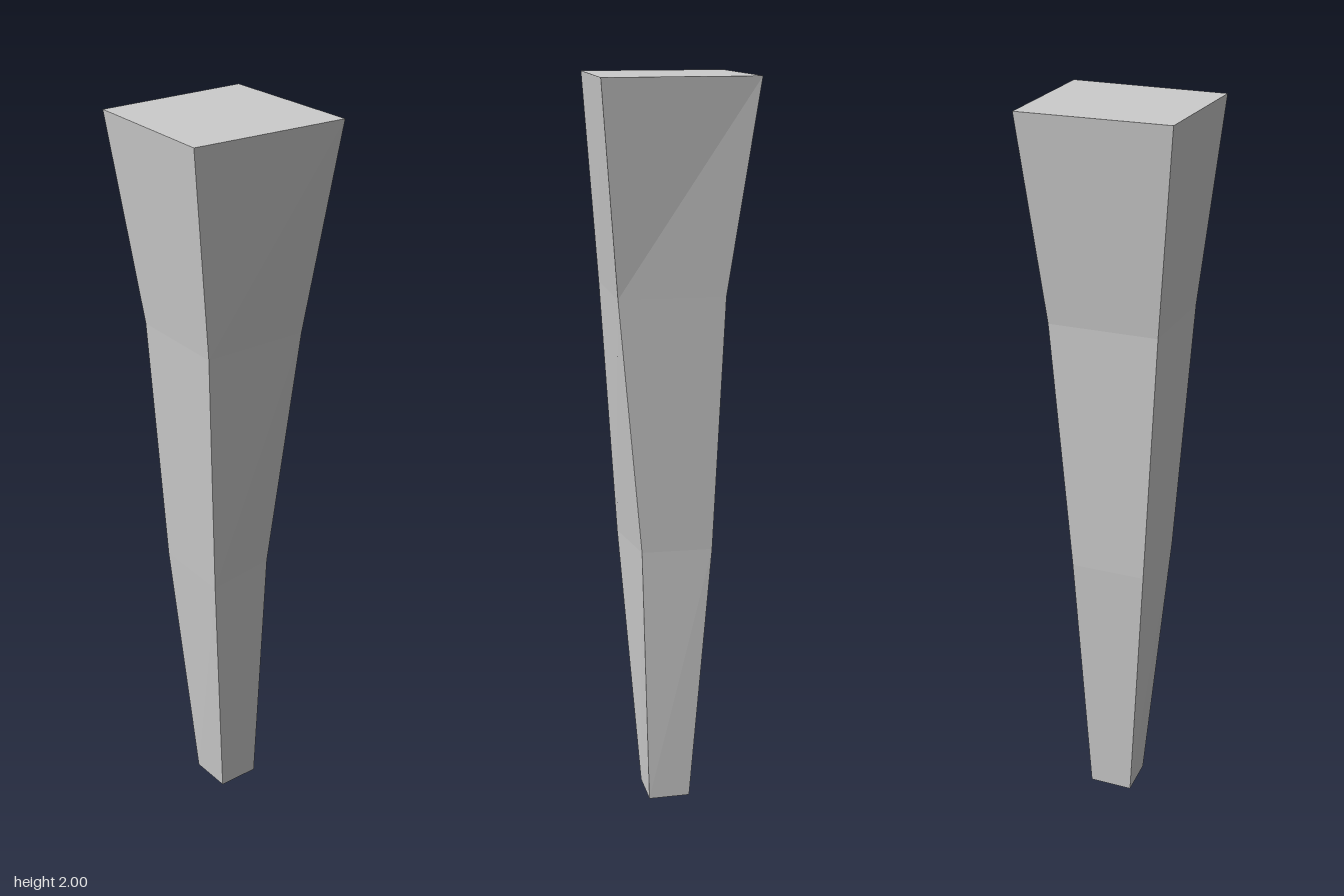
import * as THREE from 'three';

// Each level: height, then four corners [x, z], counter-clockwise from above
// starting at the front corner on the -x side.
const LEVELS = [
  { y: 0, ring: [[-0.047, 0.062], [0.07, 0.06], [0.07, -0.055], [-0.052, -0.055]] },
  { y: 0.75, ring: [[-0.11, 0.115], [0.09, 0.082], [0.097, -0.11], [-0.11, -0.11]] },
  { y: 1.45, ring: [[-0.153, 0.152], [0.137, 0.15], [0.147, -0.13], [-0.153, -0.13]] },
  { y: 2, ring: [[-0.213, 0.183], [0.212, 0.2], [0.194, -0.204], [-0.213, -0.204]] },
];

// Skin the stacked cross-sections and close both ends
function loftGeometry(levels) {
  const positions = [];
  const point = (l, i) => {
    const [x, z] = levels[l].ring[i % 4];
    return [x, levels[l].y, z];
  };
  const quad = (a, b, c, d) => positions.push(...a, ...b, ...c, ...a, ...c, ...d);

  for (let l = 0; l < levels.length - 1; l++) {
    for (let i = 0; i < 4; i++) {
      quad(point(l, i), point(l, i + 1), point(l + 1, i + 1), point(l + 1, i));
    }
  }
  const top = levels.length - 1;
  quad(point(top, 0), point(top, 1), point(top, 2), point(top, 3));
  quad(point(0, 3), point(0, 2), point(0, 1), point(0, 0));

  const geometry = new THREE.BufferGeometry();
  geometry.setAttribute('position', new THREE.Float32BufferAttribute(positions, 3));
  geometry.computeVertexNormals();
  return geometry;
}

export function createModel() {
  const model = new THREE.Group();
  model.name = 'taperedPost';

  // Irregular four-sided post, wide at the top and narrow at the foot
  const material = new THREE.MeshStandardMaterial({ color: 0xcccccc, flatShading: true });
  const post = new THREE.Mesh(loftGeometry(LEVELS), material);
  post.name = 'post';
  model.add(post);

  return model;
}
